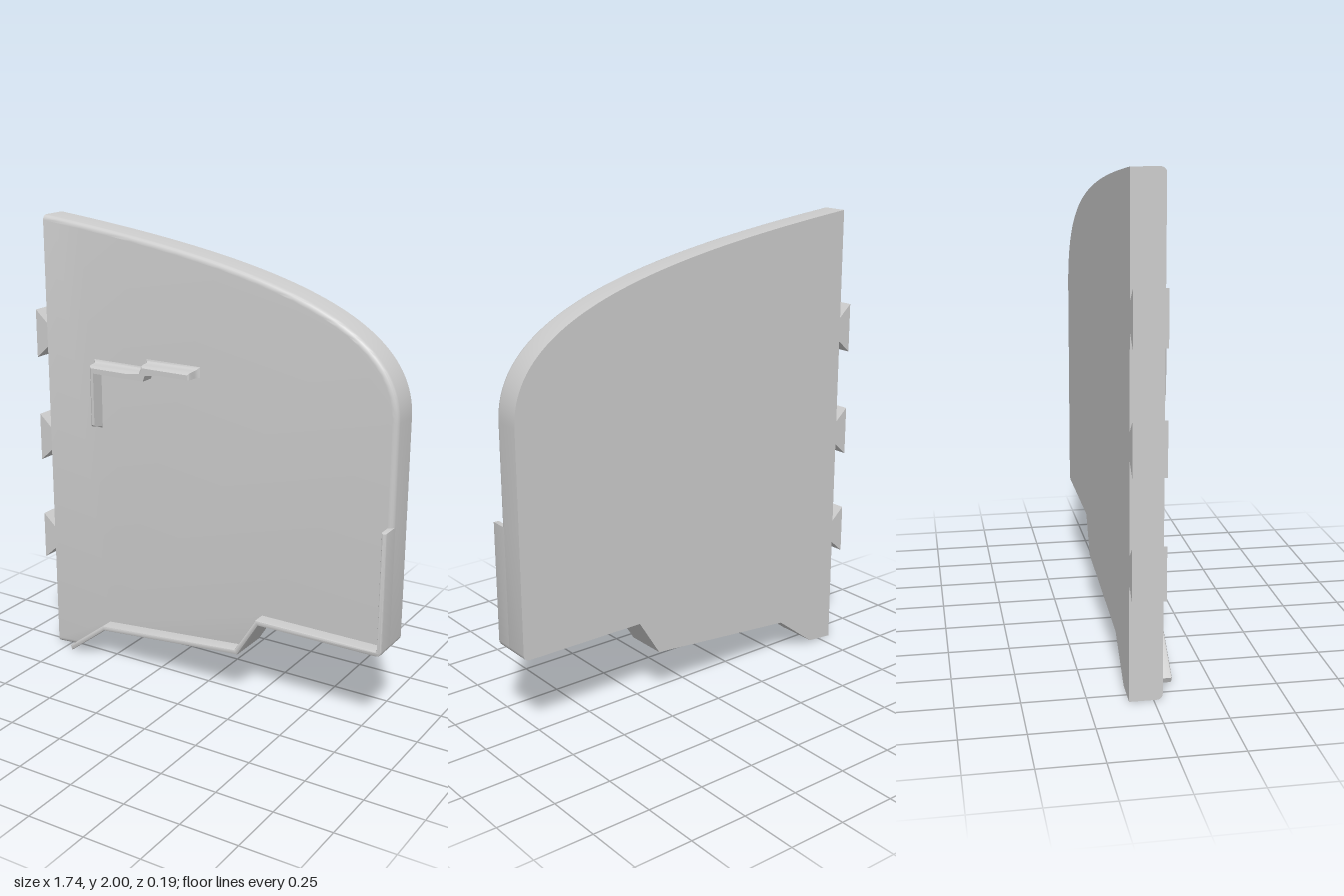
import * as THREE from 'three';
import { toCreasedNormals } from 'three/addons/utils/BufferGeometryUtils.js';

const BACK = -0.095, FACE = 0.035, FRONT = 0.095;
const V = (x, y) => new THREE.Vector2(x, y);

// Move each edge of a counter-clockwise polygon inwards by dist(edge start, edge end)
function inset(pts, dist) {
  const n = pts.length;
  const edges = pts.map((p, i) => {
    const q = pts[(i + 1) % n];
    const d = q.clone().sub(p).normalize();
    return { x: -d.y, y: d.x, d: dist(p, q) };
  });
  return pts.map((p, i) => {
    const a = edges[(i + n - 1) % n], b = edges[i];
    const det = a.x * b.y - a.y * b.x;
    if (Math.abs(det) < 1e-5) return V(p.x + b.x * b.d, p.y + b.y * b.d);
    return V(p.x + (a.d * b.y - b.d * a.y) / det, p.y + (a.x * b.d - b.x * a.d) / det);
  });
}

// Solid from an outline; profile lists [z, inset], fixed(p, q) marks edges kept straight
function shapedSolid(pts, profile, fixed = () => false) {
  const n = pts.length, pos = [], idx = [];
  profile.forEach(([z, d]) => {
    inset(pts, (p, q) => (fixed(p, q) ? 0 : d)).forEach(p => pos.push(p.x, p.y, z));
  });
  for (let r = 0; r < profile.length - 1; r++) {
    for (let i = 0; i < n; i++) {
      const a = r * n + i, b = r * n + (i + 1) % n;
      idx.push(a, b, b + n, a, b + n, a + n);
    }
  }
  const top = (profile.length - 1) * n;
  THREE.ShapeUtils.triangulateShape(pts, []).forEach(([a, b, c]) => {
    idx.push(a, c, b, top + a, top + b, top + c);
  });
  const geo = new THREE.BufferGeometry();
  geo.setAttribute('position', new THREE.Float32BufferAttribute(pos, 3));
  geo.setIndex(idx);
  return toCreasedNormals(geo, 0.5);
}

export function createModel() {
  const group = new THREE.Group();
  const mat = new THREE.MeshStandardMaterial({ color: 0xcccccc });
  const add = (name, geo) => {
    const mesh = new THREE.Mesh(geo, mat);
    mesh.name = name;
    group.add(mesh);
    return mesh;
  };

  // Panel outline: stepped bottom, rounded lower corner, sweeping top
  const lower = [V(-0.69, 0.01), V(-0.5, 0.155), V(0.2, 0.22), V(0.3, 0.38)];
  const rc = 0.025;
  for (let i = 0; i <= 4; i++) {
    const t = -Math.PI / 2 + (i * Math.PI) / 8;
    lower.push(V(0.865 - rc + rc * Math.cos(t), 0.38 + rc + rc * Math.sin(t)));
  }
  lower.push(V(0.865, 0.91));
  const sweep = new THREE.CubicBezierCurve(
    V(0.865, 1.33), V(0.865, 1.72), V(0.3, 1.88), V(-0.81, 2)).getPoints(48);
  const outline = [V(-0.81, 0), ...lower, ...sweep];

  // Panel with a rounded front edge everywhere except the joining side
  const r = 0.022, panelProfile = [[BACK, 0]];
  for (let i = 0; i <= 4; i++) {
    const t = (i * Math.PI) / 8;
    panelProfile.push([FACE - r + r * Math.sin(t), r * (1 - Math.cos(t))]);
  }
  add('panel', shapedSolid(outline, panelProfile, (p, q) => p.x < -0.8 && q.x < -0.8));

  // Raised lip following the bottom and the lower right edge
  const inner = inset(outline, () => 0.022).slice(1, 1 + lower.length);
  add('edgeLip', shapedSolid([...lower, ...inner.reverse()],
    [[FACE - r, 0], [FRONT - 0.006, 0], [FRONT - 0.002, 0.002], [FRONT, 0.006]]));

  // Stepped rail: straight underside, flared on its outer side and ends
  const rail = [
    V(-0.56, 1.1), V(-0.522, 1.1), V(-0.522, 1.356), V(-0.265, 1.356), V(-0.25, 1.392),
    V(-0.02, 1.392), V(-0.02, 1.438), V(-0.285, 1.438), V(-0.3, 1.403), V(-0.56, 1.403)];
  const underside = p => rail.indexOf(p) >= 1 && rail.indexOf(p) <= 4;
  add('steppedRail', shapedSolid(rail,
    [[FACE - 0.005, 0], [FACE, 0], [0.038, 0.006], [0.044, 0.011], [0.055, 0.014],
      [0.08, 0.015], [0.089, 0.018], [FRONT, 0.025]], underside));

  // Dovetail tabs on the joining side
  const tab = new THREE.Shape([
    V(-0.81, -0.053), V(-0.81, 0.053), V(-0.87, 0.107), V(-0.87, -0.107)]);
  for (const y of [0.528, 1.003, 1.478]) {
    const geo = new THREE.ExtrudeGeometry(tab, { depth: FACE - BACK, bevelEnabled: false });
    add('dovetailTab', geo).position.set(0, y, BACK);
  }
  return group;
}
